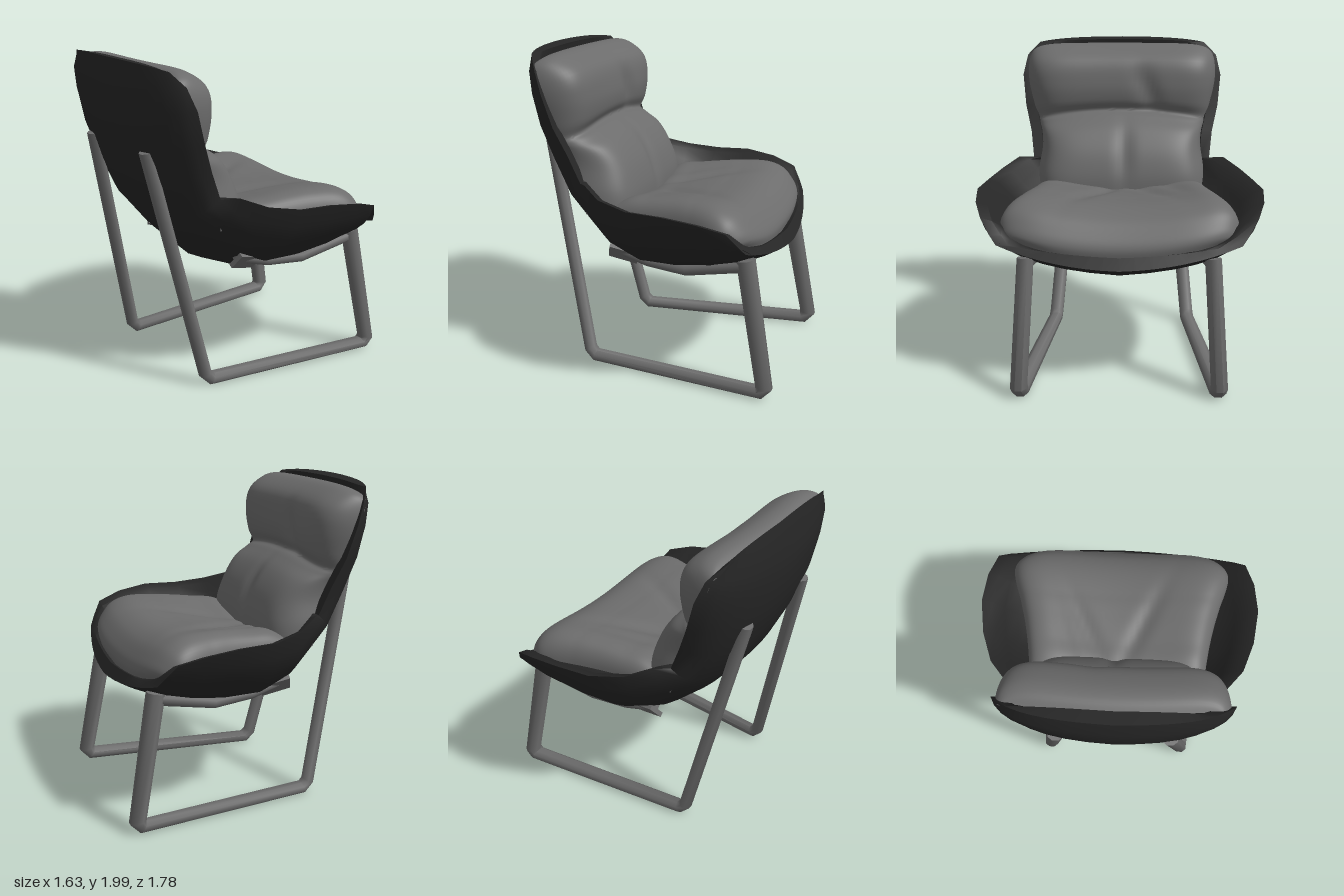
import * as THREE from 'three';
import { toCreasedNormals } from 'three/addons/utils/BufferGeometryUtils.js';

// Skin a list of rings; closed rings also get end caps
function loft(rings, closed, crease) {
  const n = rings[0].length, idx = [];
  const quad = (a, b, c, d) => idx.push(a, b, c, a, c, d);
  for (let i = 0; i < rings.length - 1; i++) {
    for (let j = 0; j < (closed ? n : n - 1); j++) {
      const k = (j + 1) % n;
      quad(i * n + j, i * n + k, (i + 1) * n + k, (i + 1) * n + j);
    }
  }
  if (closed) {
    const e = (rings.length - 1) * n;
    for (let k = 0; k < n / 2 - 1; k++) {
      quad(n - 1 - k, n - 2 - k, k + 1, k);
      quad(e + k, e + k + 1, e + n - 2 - k, e + n - 1 - k);
    }
  }
  const g = new THREE.BufferGeometry();
  g.setAttribute('position', new THREE.Float32BufferAttribute(rings.flat(2), 3));
  g.setIndex(idx);
  return toCreasedNormals(g, crease);
}

// Smoothly resample rows of numbers
function resample(rows, count) {
  const at = i => rows[Math.max(0, Math.min(rows.length - 1, i))];
  return Array.from({ length: count + 1 }, (_, q) => {
    const f = q / count * (rows.length - 1), i = Math.min(Math.floor(f), rows.length - 2), t = f - i;
    return rows[0].map((_, c) => {
      const [p, a, b, d] = [at(i - 1)[c], at(i)[c], at(i + 1)[c], at(i + 2)[c]];
      return a + 0.5 * t * (b - p + t * (2 * p - 5 * a + 4 * b - d + t * (3 * (a - b) + d - p)));
    });
  });
}

// Shell stations: spine x,y | control x,y,z | rim x,y,z
const shellStations = [
  [-0.80, 2.00, -0.79, 2.00, 0.42, -0.71, 1.97, 0.57],
  [-0.82, 1.86, -0.82, 1.86, 0.57, -0.65, 1.89, 0.65],
  [-0.82, 1.75, -0.80, 1.72, 0.62, -0.60, 1.76, 0.68],
  [-0.79, 1.55, -0.77, 1.53, 0.61, -0.54, 1.56, 0.66],
  [-0.71, 1.32, -0.70, 1.30, 0.58, -0.47, 1.39, 0.62],
  [-0.58, 1.06, -0.58, 1.05, 0.58, -0.40, 1.22, 0.60],
  [-0.42, 0.85, -0.42, 0.88, 0.60, -0.33, 1.24, 0.69],
  [-0.25, 0.69, -0.25, 0.75, 0.68, -0.20, 1.19, 0.79],
  [-0.05, 0.61, -0.05, 0.67, 0.72, 0.00, 1.16, 0.86],
  [0.18, 0.615, 0.18, 0.68, 0.75, 0.22, 1.16, 0.89],
  [0.40, 0.66, 0.42, 0.71, 0.74, 0.42, 1.13, 0.87],
  [0.60, 0.73, 0.58, 0.77, 0.74, 0.58, 1.08, 0.82],
  [0.72, 0.78, 0.68, 0.80, 0.55, 0.64, 0.99, 0.76],
  [0.78, 0.82, 0.77, 0.83, 0.40, 0.67, 0.94, 0.72],
];

function shellGeometry() {
  const steps = 16;
  const rings = shellStations.map((s, i) => {
    const a = shellStations[Math.max(0, i - 1)], b = shellStations[Math.min(13, i + 1)];
    const l = Math.hypot(b[0] - a[0], b[1] - a[1]);
    const nx = -(b[1] - a[1]) / l, ny = (b[0] - a[0]) / l;
    // Padded towards the cushion along the arms
    const arm = i > 5 && i < 12, d = 0.08, e = arm ? 0.16 : d;
    const inner = [s[0] + nx * d, s[1] + ny * d, s[2] + nx * e, s[3] + ny * e, s[4] * (arm ? 0.76 : 0.9),
      s[5], s[6] - (arm ? 0.02 : 0), s[7] - 0.07];
    const curve = (p, u) => {
      const t = Math.abs(u), A = (1 - t) ** 2, B = 2 * t * (1 - t), C = t * t;
      return [A * p[0] + B * p[2] + C * p[5], A * p[1] + B * p[3] + C * p[6], Math.sign(u) * (B * p[4] + C * p[7])];
    };
    const us = Array.from({ length: steps + 1 }, (_, k) => 1 - 2 * k / steps);
    return [...us.map(u => curve(s, u)), ...us.reverse().map(u => curve(inner, u))];
  });
  return loft(rings, true, 0.85);
}

// Cushion rows: base x,y | crown x,y | half width; fold() dents the crown
function cushionGeometry(rows, fold) {
  const cols = 56;
  const rings = resample(rows, 56).map(([bx, by, fx, fy, w]) =>
    Array.from({ length: cols + 1 }, (_, j) => {
      const u = Math.sin((j / cols - 0.5) * Math.PI), z = u * w;
      const s = Math.sqrt(Math.max(0, 1 - Math.abs(u) ** 7));
      const [dx, dy] = fold(fx, fy, z, u);
      return [bx + (fx - bx) * s + dx, by + (fy - by) * s + dy, z];
    }));
  return loft(rings, false, 1.2);
}

const bell = (d, r) => Math.exp(-((d / r) ** 2));

const backRows = [
  [-0.75, 1.91, -0.73, 1.93, 0.57], [-0.74, 1.91, -0.66, 1.97, 0.60],
  [-0.72, 1.88, -0.56, 1.955, 0.63], [-0.70, 1.80, -0.44, 1.87, 0.645],
  [-0.67, 1.70, -0.40, 1.72, 0.64], [-0.62, 1.60, -0.405, 1.61, 0.61],
  [-0.58, 1.54, -0.435, 1.545, 0.58], [-0.56, 1.50, -0.38, 1.51, 0.57],
  [-0.51, 1.42, -0.28, 1.43, 0.55], [-0.46, 1.30, -0.19, 1.30, 0.54],
  [-0.41, 1.15, -0.14, 1.15, 0.565], [-0.38, 1.02, -0.13, 1.02, 0.57],
];
const seatRows = [
  [-0.30, 0.92, -0.30, 1.02, 0.55], [-0.14, 0.93, -0.14, 1.11, 0.57],
  [0.00, 0.94, 0.00, 1.13, 0.59], [0.15, 0.94, 0.15, 1.15, 0.62],
  [0.30, 0.94, 0.30, 1.16, 0.66], [0.45, 0.93, 0.47, 1.14, 0.70],
  [0.55, 0.91, 0.59, 1.08, 0.715], [0.62, 0.87, 0.67, 0.99, 0.70],
  [0.66, 0.85, 0.705, 0.92, 0.67], [0.67, 0.83, 0.70, 0.86, 0.62],
];
// Headrest wraps forward at the sides, the seam sags, and tucks run down the middle
const backFold = (x, y, z, u) => {
  const upper = Math.max(0, Math.min(1, (y - 1.5) / 0.3));
  const tuck = y < 1.53
    ? 0.025 * bell(z + 0.02, 0.05) * bell(y - 1.28, 0.18)
    : 0.03 * bell(z + 0.17 - (y - 1.7) * 0.3, 0.07) * bell(y - 1.68, 0.14);
  return [0.045 * upper * u * u - tuck, -0.06 * u * u * bell(y - 1.54, 0.1)];
};
// Seat sags in the middle, folds fan out from the back, front corners are set back
const seatFold = (x, y, z, u) => {
  const f = bell(x - 0.1, 0.28);
  const dent = bell(z + 0.12 + (x + 0.1) * 0.5, 0.06) + bell(z - 0.06 - (x + 0.1) * 0.45, 0.06)
    + 0.6 * bell(z + 0.3 + (x + 0.1) * 0.3, 0.06);
  const front = Math.max(0, Math.min(1, (x - 0.3) / 0.4));
  return [-0.07 * front * u ** 4, -0.025 * f * dent - 0.04 * (1 - front) + (0.11 - 0.01 * front) * u * u];
};

// Mitred bar through points [x, y, z, half width across, half depth]
function barGeometry(path) {
  const N = new THREE.Vector3(0, 0, 1);
  const pts = path.map(p => new THREE.Vector3(p[0], p[1], p[2]));
  const rings = path.map((p, i) => {
    const a = pts[Math.max(0, i - 1)], b = pts[i], c = pts[Math.min(pts.length - 1, i + 1)];
    const d0 = b.clone().sub(a).normalize(), d1 = c.clone().sub(b).normalize();
    const t = d0.clone().add(d1).normalize(), m = t.clone().cross(N).normalize();
    const stretch = 1 / Math.max(0.6, t.dot(i ? d0 : d1));
    return Array.from({ length: 8 }, (_, k) => {
      const q = (k + 0.5) / 8 * Math.PI * 2;
      return b.clone().addScaledVector(N, Math.cos(q) * p[3] * 1.08)
        .addScaledVector(m, Math.sin(q) * p[4] * 1.08 * stretch).toArray();
    });
  });
  return loft(rings, true, 1);
}

export function createModel() {
  const shellBlack = new THREE.MeshStandardMaterial({ color: 0x262626 });
  const grey = new THREE.MeshStandardMaterial({ color: 0x6c6c6c, side: THREE.DoubleSide });
  const model = new THREE.Group();
  model.name = 'loungeChair';
  const add = (name, geometry, material, parent = model) => {
    const mesh = new THREE.Mesh(geometry, material);
    mesh.name = name;
    parent.add(mesh);
    return mesh;
  };

  add('shell', shellGeometry(), shellBlack);
  add('backCushion', cushionGeometry(backRows, backFold), grey);
  add('seatCushion', cushionGeometry(seatRows, seatFold), grey);

  // One sled leg frame per side
  for (const s of [1, -1]) {
    const frame = new THREE.Group();
    frame.name = s > 0 ? 'leftLegFrame' : 'rightLegFrame';
    model.add(frame);
    add('legLoop', barGeometry([
      [-0.73, 1.49, s * 0.33, 0.045, 0.036], [-0.425, 0.085, s * 0.465, 0.045, 0.036],
      [-0.385, 0.045, s * 0.47, 0.045, 0.036], [0.735, 0.045, s * 0.595, 0.05, 0.036],
      [0.765, 0.085, s * 0.60, 0.05, 0.046], [0.625, 0.85, s * 0.555, 0.048, 0.054],
    ]), grey, frame);
    add('seatRail', barGeometry([
      [0.66, 0.82, s * 0.555, 0.04, 0.038], [0.25, 0.735, s * 0.53, 0.035, 0.036],
      [0.0, 0.755, s * 0.515, 0.035, 0.034], [-0.22, 0.81, s * 0.50, 0.035, 0.03],
    ]), grey, frame);
    const plate = add('railPlate', new THREE.BoxGeometry(0.18, 0.11, 0.03), grey, frame);
    plate.position.set(-0.16, 0.78, s * 0.515);
    plate.rotation.set(s * 0.65, 0, -0.3);
  }
  return model;
}
